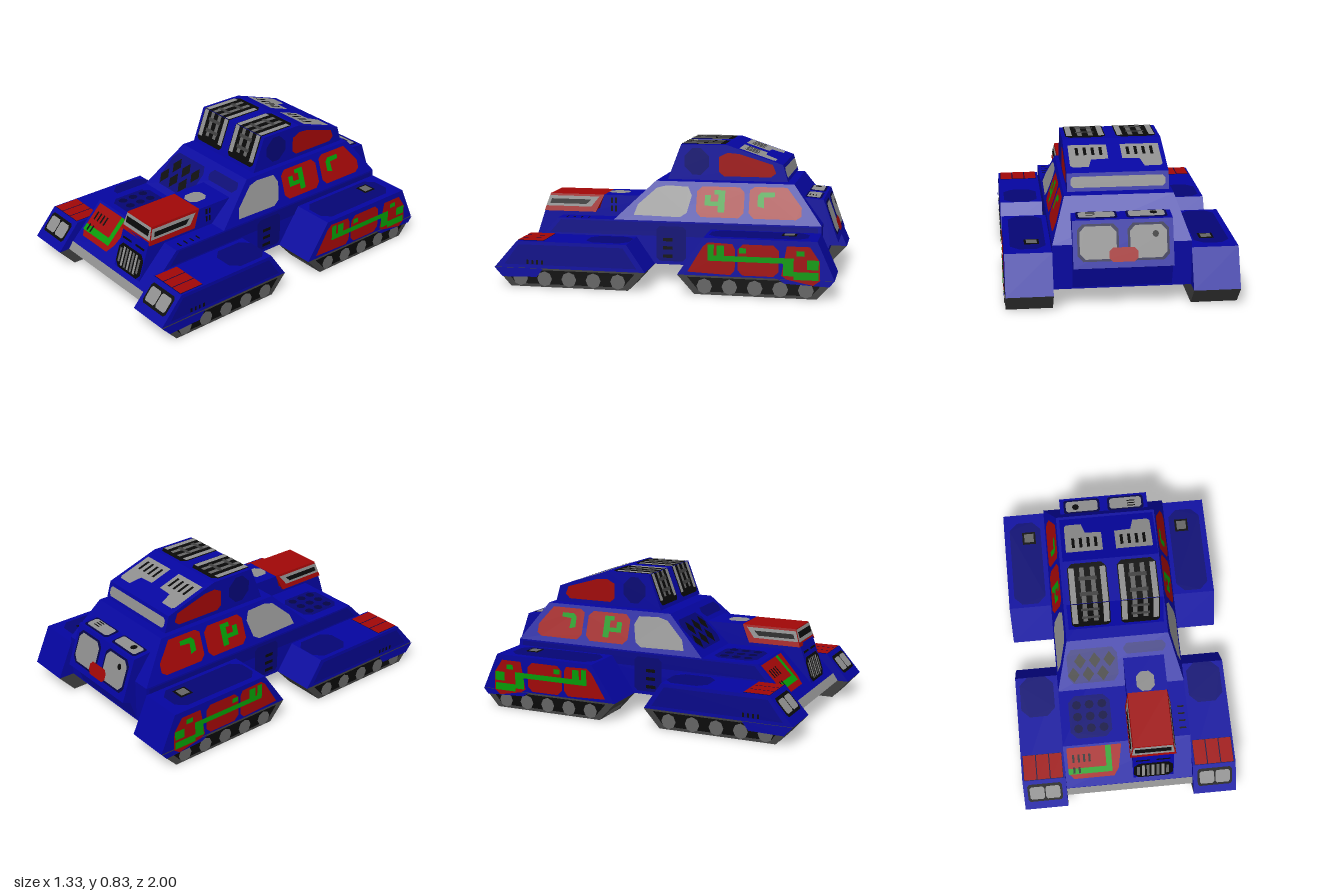
import * as THREE from 'three';

const paint = (name, color) => {
  const m = new THREE.MeshStandardMaterial({ color });
  m.name = name;
  return m;
};

export function createModel() {
  const root = new THREE.Group();
  root.name = 'armouredTruck';
  const blue = paint('body blue', 0x0505a0), shade = paint('side blue', 0x050588), navy = paint('recess navy', 0x050574);
  const deep = paint('deep navy', 0x040444), red = paint('panel red', 0xa00707);
  const green = paint('marking green', 0x059a05), grey = paint('light grey', 0x8e8e8e);
  const steel = paint('steel', 0x646464), rubber = paint('track grey', 0x404040), black = paint('black', 0x080808);

  const add = (name, geometry, material) => {
    const mesh = new THREE.Mesh(geometry, material);
    mesh.name = name;
    root.add(mesh);
    return mesh;
  };
  const toShape = pts => new THREE.Shape(pts.map(p => new THREE.Vector2(...p)));

  // Solid with a (z, y) side profile, spanning x0..x1
  const prism = (name, mat, profile, x0, x1) => {
    const g = new THREE.ExtrudeGeometry(toShape(profile), { depth: x1 - x0, bevelEnabled: false });
    g.rotateY(-Math.PI / 2).translate(x1, 0, 0);
    return add(name, g, mat);
  };
  // Tapered block; each level is { y, x: [min, max], z: [back, front] }
  const taper = (name, mat, low, high) => {
    const g = new THREE.BoxGeometry(1, 1, 1), p = g.attributes.position;
    for (let i = 0; i < p.count; i++) {
      const level = p.getY(i) > 0 ? high : low;
      p.setXYZ(i, level.x[p.getX(i) > 0 ? 1 : 0], level.y, level.z[p.getZ(i) > 0 ? 1 : 0]);
    }
    g.computeVertexNormals();
    return add(name, g, mat);
  };

  // Faces that painted plates lie on: 2D position -> 3D point, with outward direction
  const face = (out, at) => ({ out: new THREE.Vector3(...out), at });
  const sideAt = x => face([1, 0, 0], (z, y) => [x, y, z]);
  const flatAt = (y, s = 1) => face([0, s, 0], (x, z) => [x, y, z]);
  const wall = (s, z0, y0, z1, y1) =>
    face([0, 0, s], (x, y) => [x, y, z0 + (y - y0) * (z1 - z0) / (y1 - y0)]);
  const roof = (z0, y0, z1, y1) =>
    face([0, 1, 0], (x, z) => [x, y0 + (z - z0) * (y1 - y0) / (z1 - z0), z]);
  const mirror = f => face([-f.out.x, f.out.y, f.out.z], (a, b) => {
    const p = f.at(a, b);
    return [-p[0], p[1], p[2]];
  });

  // Painted plate: a flat outline laid on a face, lifted slightly per layer
  const plate = (name, mat, pts, f, layer = 1) => {
    const g = new THREE.ShapeGeometry(toShape(pts));
    const pos = g.attributes.position;
    for (let i = 0; i < pos.count; i++) pos.setXYZ(i, ...f.at(pos.getX(i), pos.getY(i)));
    g.computeVertexNormals();
    const n = new THREE.Vector3().fromBufferAttribute(g.attributes.normal, 0);
    if (n.dot(f.out) < 0) {
      g.index.array.reverse();
      g.computeVertexNormals();
      n.negate();
    }
    g.translate(n.x * layer * 0.0025, n.y * layer * 0.0025, n.z * layer * 0.0025);
    return add(name, g, mat);
  };
  const rect = (a0, b0, a1, b1, c = 0) => c
    ? [[a0 + c, b0], [a1 - c, b0], [a1, b0 + c], [a1, b1 - c], [a1 - c, b1], [a0 + c, b1], [a0, b1 - c], [a0, b0 + c]]
    : [[a0, b0], [a1, b0], [a1, b1], [a0, b1]];
  const round = (a, b, r, n = 8) => Array.from({ length: n }, (_, i) =>
    [a + r * Math.cos(i * 2 * Math.PI / n), b + r * Math.sin(i * 2 * Math.PI / n)]);

  // Hull, cabin, scoop, rear box and turret
  prism('hull', blue, [[0.93, 0.11], [0.9, 0.155], [0.69, 0.37], [-0.9, 0.37], [-0.9, 0.11]], -0.39, 0.39);
  taper('cabin', blue, { y: 0.37, x: [-0.39, 0.39], z: [-0.9, 0.34] }, { y: 0.6, x: [-0.31, 0.31], z: [-0.73, 0.1] });
  prism('scoopBase', blue, [[0.88, 0.17], [0.8, 0.41], [0.46, 0.41], [0.43, 0.5], [0.1, 0.5], [0.1, 0.17]], 0.025, 0.275);
  taper('scoopCowl', red, { y: 0.395, x: [0.01, 0.29], z: [0.48, 0.805] }, { y: 0.5, x: [0.03, 0.27], z: [0.43, 0.77] });
  prism('rearBox', blue, [[-0.6, 0.52], [-0.78, 0.52], [-0.9, 0.51], [-0.99, 0.26], [-0.94, 0.24], [-0.9, 0.12], [-0.6, 0.12]], -0.28, 0.28);
  prism('turret', blue, [[0.03, 0.61], [-0.05, 0.82], [-0.33, 0.82], [-0.66, 0.71], [-0.69, 0.61]], -0.29, 0.29);

  // Nose: bumper, marked panel, grille
  const nose = wall(1, 0.9, 0.155, 0.69, 0.37), scoopFront = wall(1, 0.88, 0.17, 0.77, 0.5);
  plate('bumper', grey, rect(-0.39, 0.11, 0.39, 0.155), wall(1, 0.93, 0.11, 0.9, 0.155));
  plate('nosePanel', red, [[-0.34, 0.2], [-0.09, 0.2], [-0.06, 0.24], [-0.035, 0.36], [-0.37, 0.36], [-0.37, 0.23]], nose);
  plate('noseMarking', green, [[-0.37, 0.225], [-0.1, 0.225], [-0.1, 0.36], [-0.135, 0.36], [-0.135, 0.255], [-0.37, 0.255]], nose, 2);
  for (let i = 0; i < 4; i++) {
    const x = -0.34 + i * 0.033;
    plate('noseSlot', black, rect(x, 0.285, x + 0.013, 0.325), nose, 2);
    if (i < 2) plate('noseSlot', black, rect(x, 0.23, x + 0.013, 0.262), nose, 3);
  }
  plate('grille', black, rect(0.03, 0.18, 0.27, 0.325, 0.03), scoopFront);
  for (let i = 0; i < 7; i++) {
    const x = 0.048 + i * 0.03, d = i === 0 || i === 6 ? 0.015 : 0;
    plate('grilleBar', i % 2 ? grey : steel, rect(x, 0.195 + d, x + 0.018, 0.31 - d), scoopFront, 2);
  }
  plate('grilleSlot', black, rect(0.045, 0.35, 0.13, 0.362), scoopFront);
  plate('grilleSlot', black, rect(0.17, 0.35, 0.255, 0.362), scoopFront);

  // Scoop trim with black intake slot, around front and both sides
  plate('scoopTrim', grey, [[0.02, 0.42], [0.28, 0.42], [0.268, 0.495], [0.032, 0.495]], scoopFront);
  plate('scoopIntake', black, rect(0.04, 0.442, 0.26, 0.478), scoopFront, 2);
  for (const s of [1, -1]) {
    const f = face([s, 0, 0], (z, y) => [0.15 + s * (0.14 - (y - 0.395) * 0.02 / 0.105), y, z]);
    plate('scoopTrim', grey, [[0.794, 0.425], [0.774, 0.487], [0.46, 0.487], [0.51, 0.425]], f);
    plate('scoopIntake', black, [[0.77, 0.44], [0.76, 0.468], [0.51, 0.468], [0.54, 0.44]], f, 2);
  }
  plate('hoodCap', grey, rect(0.09, 0.3, 0.2, 0.425, 0.03), flatAt(0.5));
  for (const z of [0.35, 0.375]) for (const y of [0.4, 0.45])
    plate('scoopBaseSlot', black, rect(z, y, z + 0.012, y + 0.035), sideAt(0.275));

  // Hood recess and slots, windscreen ports
  const hood = flatAt(0.37);
  plate('hoodRecess', navy, rect(-0.335, 0.38, -0.08, 0.65, 0.04), hood);
  for (let r = 0; r < 3; r++) for (let c = 0; c < 3; c++)
    plate('hoodPort', deep, round(-0.285 + c * 0.078, 0.44 + r * 0.075, 0.028), hood, 2);
  for (let i = 0; i < 4; i++) plate('hoodSlot', black, rect(0.33, 0.5 + i * 0.045, 0.37, 0.51 + i * 0.045), hood);
  const screen = wall(1, 0.34, 0.37, 0.1, 0.6);
  plate('screenRecess', navy, rect(-0.32, 0.4, -0.01, 0.56, 0.03), screen);
  plate('screenRecess', navy, rect(0.03, 0.52, 0.29, 0.57, 0.02), screen);
  for (let i = 0; i < 6; i++) {
    const row = i % 2, x = (row ? -0.285 : -0.24) + (i >> 1) * 0.09;
    plate('screenPort', black, round(x, row ? 0.442 : 0.505, 0.036, 4), screen, 2);
  }

  // Turret: vents wrapping front and roof, slotted roof covers, rear band
  const tFront = wall(1, 0.03, 0.61, -0.05, 0.82), tTop = flatAt(0.82);
  const tSlope = roof(-0.33, 0.82, -0.66, 0.71);
  for (const x of [-0.15, 0.15]) {
    plate('turretVent', black, [[x - 0.1, 0.632], [x + 0.1, 0.632], [x + 0.118, 0.65], [x + 0.118, 0.82], [x - 0.118, 0.82], [x - 0.118, 0.65]], tFront);
    plate('turretVent', black, [[x - 0.118, -0.05], [x + 0.118, -0.05], [x + 0.118, -0.28], [x + 0.09, -0.31], [x - 0.09, -0.31], [x - 0.118, -0.28]], tTop);
    for (const [d, w, m] of [[-0.095, 0.034, grey], [-0.032, 0.028, steel], [0.032, 0.028, steel], [0.095, 0.034, grey]]) {
      const low = m === grey ? 0.66 : 0.675;
      plate('ventBar', m, rect(x + d - w / 2, low, x + d + w / 2, 0.82), tFront, 2);
      plate('ventBar', m, rect(x + d - w / 2, -0.28, x + d + w / 2, -0.05), tTop, 2);
    }
    for (const y of [0.7, 0.765]) plate('ventCross', rubber, rect(x - 0.055, y, x + 0.055, y + 0.02), tFront, 3);
    for (const z of [-0.12, -0.22]) plate('ventCross', rubber, rect(x - 0.055, z, x + 0.055, z + 0.025), tTop, 3);
    const slope = x > 0 ? tSlope : mirror(tSlope);
    plate('roofCover', grey, [[0.04, -0.395], [0.265, -0.395], [0.265, -0.595], [0.25, -0.61], [0.16, -0.61], [0.14, -0.54], [0.04, -0.535]], slope);
    for (let i = 0; i < 4; i++) {
      const sx = 0.07 + i * 0.046;
      plate('roofSlot', black, rect(sx, -0.5, sx + 0.018, -0.425), slope, 2);
    }
  }
  plate('turretRearBand', grey, rect(-0.27, 0.63, 0.27, 0.69, 0.015), wall(-1, -0.69, 0.61, -0.66, 0.71));

  // Rear panels and plate
  const back = wall(-1, -0.9, 0.51, -0.99, 0.26), ledge = roof(-0.78, 0.52, -0.9, 0.51);
  for (const s of [-1, 1]) {
    for (const [m, w, d, layer] of [[deep, 0.115, 0, 1], [grey, 0.102, 0.012, 2]]) {
      plate('rearLedgePanel', m, rect(s * 0.14 - w, -0.885 + d, s * 0.14 + w, -0.785 - d, 0.012), ledge, layer);
      plate('rearPanel', m, rect(s * 0.14 - w, 0.295 + d, s * 0.14 + w, 0.49 - d, 0.03), back, layer);
    }
  }
  plate('rearPort', black, round(-0.18, -0.83, 0.022), ledge, 3);
  plate('rearPort', black, round(-0.18, 0.43, 0.018), back, 3);
  for (let i = 0; i < 3; i++) plate('rearSlot', black, rect(0.15, -0.85 + i * 0.018, 0.2, -0.843 + i * 0.018), ledge, 3);
  plate('rearPlate', red, rect(-0.08, 0.29, 0.08, 0.365, 0.02), back, 3);

  // Track pods and everything mirrored left and right
  for (const s of [1, -1]) {
    const M = f => s > 0 ? f : mirror(f);
    const span = s > 0 ? [0.39, 0.655] : [-0.655, -0.39];
    prism('frontPod', blue, [[1, 0.11], [0.86, 0.27], [0.2, 0.27], [0.09, 0.11]], ...span);
    prism('rearPod', blue, [[-0.1, 0.11], [-0.25, 0.33], [-0.9, 0.33], [-1, 0.11]], ...span);
    const outer = M(sideAt(0.655));
    for (const z0 of [0.09, -1]) {
      const z1 = z0 < 0 ? -0.1 : 1;
      prism('track', rubber, [[z1, 0.11], [z1 - 0.1, 0], [z0 + 0.1, 0], [z0, 0.11]], ...span);
      plate('wheelBay', black, [[z1 - 0.06, 0.1], [z1 - 0.13, 0.018], [z0 + 0.13, 0.018], [z0 + 0.06, 0.1]], outer);
      for (let i = 0; i < 5; i++)
        plate('wheel', steel, round(z0 + 0.16 + i * (z1 - z0 - 0.32) / 4, 0.05, 0.045), outer, 2);
      for (let i = 0; i < 5; i++) {
        const z = z0 + 0.14 + i * 0.14;
        plate('trackPad', steel, [[0.42, z], [0.5, z + 0.03], [0.62, z], [0.62, z + 0.04], [0.5, z + 0.07], [0.42, z + 0.04]], M(flatAt(0, -1)), 0.3);
      }
      plate('trackEndPad', steel, rect(0.45, 0.005, 0.62, 0.06, 0.015), M(wall(1, z1 - 0.1, 0, z1, 0.11)), 0.5);
    }
    // Blue skirt over the ends of the tracks
    plate('frontSkirt', blue, [[1, 0.11], [0.95, 0.055], [0.74, 0.06], [0.7, 0.11]], outer, 3);
    plate('rearSkirt', blue, [[-1, 0.11], [-0.97, 0.075], [-0.72, 0.085], [-0.68, 0.11]], outer, 3);

    // Headlights and pod tops
    const podNose = M(wall(1, 1, 0.11, 0.86, 0.27));
    plate('headlightFrame', black, rect(0.417, 0.153, 0.63, 0.25, 0.012), podNose);
    for (const x of [0.43, 0.527]) plate('headlight', grey, rect(x, 0.166, x + 0.09, 0.236, 0.01), podNose, 2);
    const podTop = M(flatAt(0.27)), rearTop = M(flatAt(0.33));
    plate('podRedGap', deep, rect(0.403, 0.7, 0.645, 0.858), podTop);
    for (let i = 0; i < 3; i++) plate('podRedPanel', red, rect(0.405 + i * 0.081, 0.702, 0.48 + i * 0.081, 0.856), podTop, 2);
    plate('podRecess', navy, rect(0.42, 0.2, 0.63, 0.46, 0.05), podTop);
    plate('rearPodRecess', navy, rect(0.42, -0.84, 0.62, -0.27, 0.05), rearTop);
    plate('hatchFrame', black, rect(0.455, -0.77, 0.54, -0.685), rearTop, 2);
    plate('hatch', steel, rect(0.467, -0.757, 0.528, -0.698), rearTop, 3);

    // Darker side plating on pods and hull
    plate('podSidePlate', shade, [[0.94, 0.13], [0.85, 0.25], [0.22, 0.25], [0.14, 0.13]], outer);
    for (let i = 0; i < 4; i++) plate('podSlot', black, rect(0.7 + i * 0.03, 0.135, 0.712 + i * 0.03, 0.16), outer, 2);
    plate('hullSidePlate', shade, [[0.74, 0.28], [0.67, 0.36], [-0.88, 0.36], [-0.88, 0.28]], M(sideAt(0.39)), 0.5);

    // Rear pod side panels and stripe pieces
    plate('podSidePanel', red, [[-0.16, 0.13], [-0.25, 0.28], [-0.28, 0.305], [-0.42, 0.3], [-0.435, 0.27], [-0.435, 0.15], [-0.41, 0.12]], outer);
    plate('podSidePanel', red, rect(-0.685, 0.12, -0.45, 0.3, 0.03), outer);
    plate('podSidePanel', red, [[-0.7, 0.13], [-0.73, 0.3], [-0.86, 0.3], [-0.915, 0.22], [-0.92, 0.11], [-0.88, 0.08], [-0.73, 0.11]], outer, 3.5);
    for (const r of [[-0.77, 0.2, -0.28, 0.232], [-0.315, 0.232, -0.28, 0.295], [-0.375, 0.232, -0.33, 0.29], [-0.5, 0.25, -0.46, 0.28],
      [-0.77, 0.13, -0.71, 0.2], [-0.91, 0.11, -0.77, 0.155], [-0.91, 0.17, -0.845, 0.225], [-0.83, 0.245, -0.785, 0.275]])
      plate('podStripe', green, rect(...r), outer, 3.9);

    // Cabin side: window and marked panels
    const cabinSide = M(face([1, 0, 0], (z, y) => [0.39 - (y - 0.37) * 0.08 / 0.23, y, z]));
    plate('sideWindow', grey, [[0.22, 0.4], [0.2, 0.46], [0.09, 0.56], [0.03, 0.575], [-0.1, 0.57], [-0.125, 0.52], [-0.1, 0.42], [-0.06, 0.395]], cabinSide);
    plate('cabinPanel', red, rect(-0.44, 0.4, -0.155, 0.575, 0.03), cabinSide);
    for (const r of [[-0.325, 0.43, -0.285, 0.555], [-0.285, 0.465, -0.205, 0.49], [-0.24, 0.49, -0.205, 0.525], [-0.285, 0.53, -0.26, 0.555]])
      plate('cabinMarking', green, rect(...r), cabinSide, 2);
    plate('cabinPanel', red, [[-0.47, 0.43], [-0.47, 0.56], [-0.5, 0.58], [-0.69, 0.58], [-0.78, 0.47], [-0.78, 0.42], [-0.75, 0.4], [-0.5, 0.4]], cabinSide);
    plate('cabinMarking', green, [[-0.52, 0.47], [-0.52, 0.53], [-0.54, 0.55], [-0.62, 0.55], [-0.62, 0.525], [-0.555, 0.52], [-0.56, 0.46]], cabinSide, 2);

    // Turret side and hull side details
    const turretSide = M(sideAt(0.29));
    plate('turretSidePanel', red, [[-0.28, 0.66], [-0.28, 0.75], [-0.33, 0.775], [-0.4, 0.77], [-0.6, 0.71], [-0.62, 0.66], [-0.59, 0.635], [-0.31, 0.635]], turretSide);
    plate('turretSideRecess', navy, rect(-0.22, 0.64, -0.07, 0.8, 0.05), turretSide);
    plate('hullSideRecess', navy, rect(-0.1, 0.13, 0.08, 0.34, 0.02), M(sideAt(0.39)));
    for (const y of [0.15, 0.2, 0.25]) plate('hullSideSlot', black, rect(-0.02, y, 0.04, y + 0.02), M(sideAt(0.39)), 2);
  }

  // Underside: black belly with chassis rail, side bars and rear plates
  const belly = flatAt(0.11, -1);
  plate('belly', black, rect(-0.385, -0.89, 0.385, 0.92), belly);
  plate('driveShaft', grey, rect(-0.065, -0.6, 0.065, 0.85, 0.03), belly, 2);
  plate('axlePlate', rubber, rect(-0.1, -0.87, 0.1, -0.62, 0.02), belly, 2);
  for (const s of [-1, 1]) {
    const f = s > 0 ? belly : mirror(belly);
    plate('rearBellyPlate', grey, rect(0.12, -0.84, 0.34, -0.58, 0.03), f, 2);
    plate('chassisRail', steel, rect(0.095, -0.52, 0.165, 0.85), f, 2);
    for (let i = 0; i < 6; i++) {
      const z = -0.5 + i * 0.22;
      plate('crossBar', i % 2 ? steel : grey, [[0.19, z], [0.35, z + 0.04], [0.35, z + 0.13], [0.19, z + 0.09]], f, 2);
    }
  }
  return root;
}
